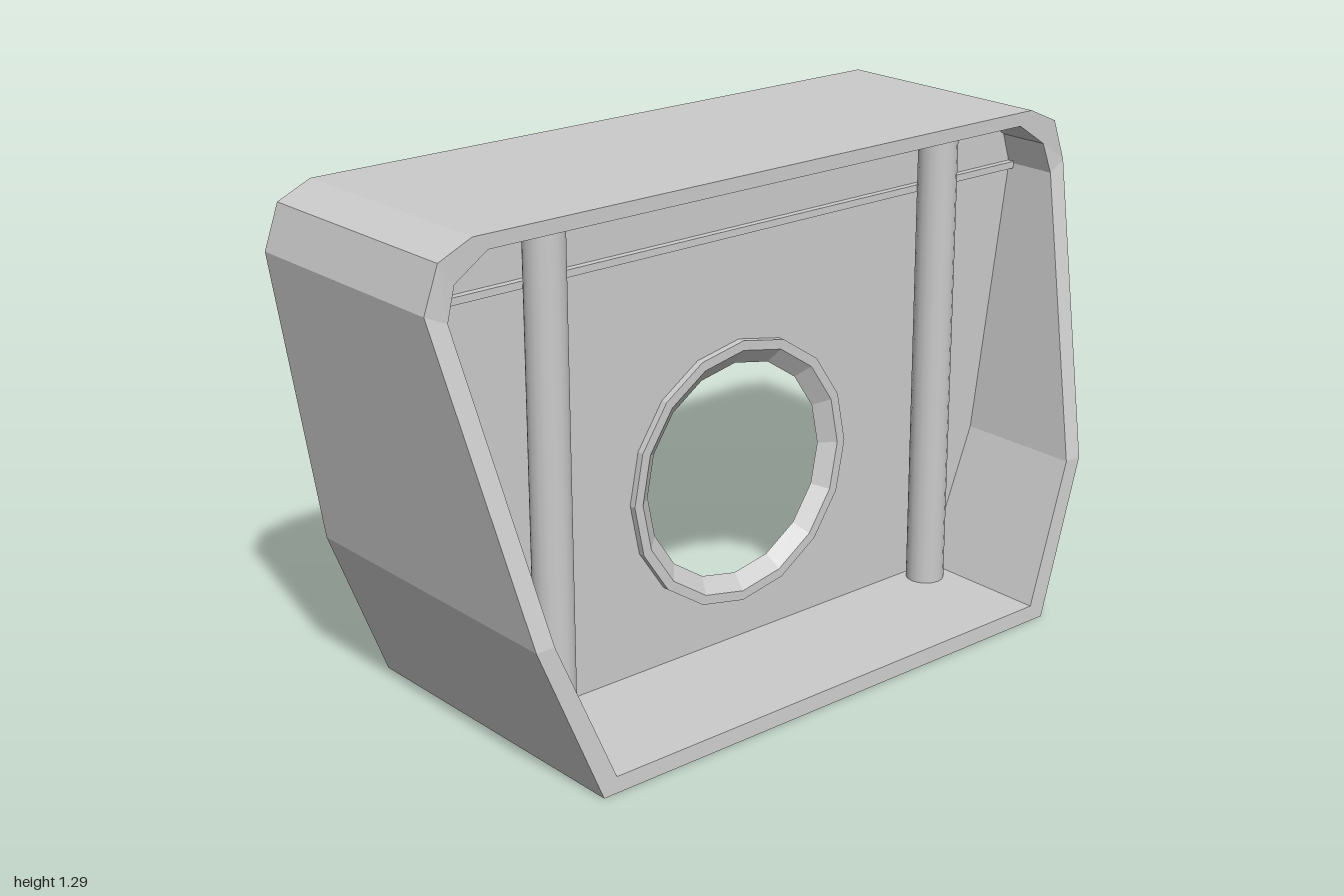
import * as THREE from 'three';

const BACK = -0.435, PLATE = 0.05;
const mat = new THREE.MeshStandardMaterial({ color: 0xcccccc, flatShading: true, side: THREE.DoubleSide });
const smooth = new THREE.MeshStandardMaterial({ color: 0xcccccc });

// Half outlines as [z, y], from the floor up; mirrored into full arches
const mirror = half => [...half, ...half.map(([z, y]) => [-z, y]).reverse()];
const outer = mirror([[0.73, 0], [0.885, 0.4], [1, 1.14], [0.96, 1.25], [0.87, 1.29]]);
const inner = mirror([[0.69, 0.04], [0.835, 0.4], [0.945, 1.115], [0.92, 1.195], [0.83, 1.255]]);

// Sloping front edge: x for a given height
function frontX(y) {
  if (y >= 1.14) return 0.2;
  if (y >= 0.4) return 0.2 + (1.14 - y) / 0.74 * 0.205;
  return 0.405 + (0.4 - y) / 0.4 * 0.03;
}
const atFront = loop => loop.map(([z, y]) => [frontX(y), y, z]);
const atX = (loop, x) => loop.map(([z, y]) => [x, y, z]);

// Faceted band of quads joining two rows of points
function ribbon(a, b, closed) {
  const pos = [];
  const n = closed ? a.length : a.length - 1;
  for (let i = 0; i < n; i++) {
    const j = (i + 1) % a.length;
    pos.push(...a[i], ...b[i], ...b[j], ...a[i], ...b[j], ...a[j]);
  }
  const g = new THREE.BufferGeometry();
  g.setAttribute('position', new THREE.Float32BufferAttribute(pos, 3));
  g.computeVertexNormals();
  return g;
}

export function createModel() {
  const model = new THREE.Group();
  const add = (name, geometry, material = mat) => {
    const mesh = new THREE.Mesh(geometry, material);
    mesh.name = name;
    model.add(mesh);
    return mesh;
  };

  // Thin outer hood, open underneath behind the bulkhead
  add('outerHood', ribbon(atFront(outer), atX(outer, BACK)));
  const sill = [outer[0], outer[outer.length - 1]];
  add('floorUnderside', ribbon(atX(sill, PLATE), atFront(sill)));

  // Front rim and inner lining
  add('frontRim', ribbon(atFront(inner), atFront(outer), true));
  add('innerLining', ribbon(atX(inner, PLATE), atFront(inner), true));

  // Bulkhead with a round opening
  const shape = new THREE.Shape(outer.map(([z, y]) => new THREE.Vector2(z, y)));
  shape.holes.push(new THREE.Path().absarc(0, 0.49, 0.33, 0, Math.PI * 2, true));
  const plate = new THREE.ExtrudeGeometry(shape, { depth: 0.012, bevelEnabled: false, curveSegments: 8 });
  add('bulkhead', plate.rotateY(Math.PI / 2).translate(PLATE, 0, 0));

  // Bevelled ring around the opening
  const profile = [[0.345, 0.02], [0.32, 0.02], [0.28, 0.048], [0.32, 0.08], [0.345, 0.08], [0.345, 0.02]];
  const ring = new THREE.LatheGeometry(profile.map(([r, x]) => new THREE.Vector2(r, x)), 16);
  add('openingRing', ring.rotateZ(-Math.PI / 2).translate(0, 0.49, 0));

  // Upright posts between floor and roof
  for (const side of [1, -1]) {
    const post = add('post', new THREE.CylinderGeometry(0.05, 0.05, 1.255, 16), smooth);
    post.position.set(0.115, 0.6275, side * 0.62);
  }

  // Slim rail across the top of the bulkhead
  add('crossRail', new THREE.BoxGeometry(0.02, 0.018, 1.885)).position.set(0.07, 1.112, 0);

  return model;
}
